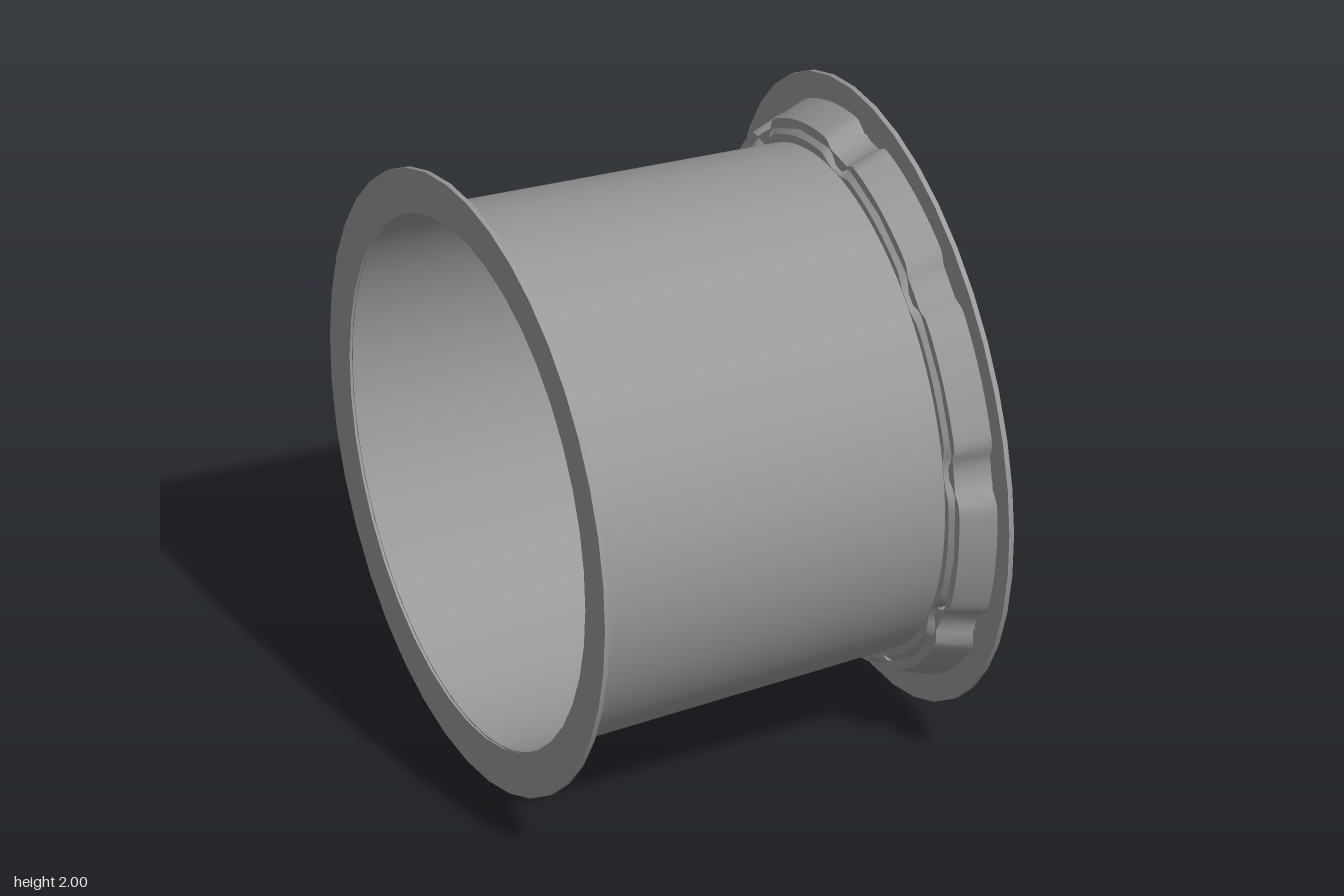
import * as THREE from 'three';
import { toCreasedNormals } from 'three/addons/utils/BufferGeometryUtils.js';

const { lerp, smoothstep, degToRad } = THREE.MathUtils;
const SPOKES = 9;
const STEP = (Math.PI * 2) / SPOKES;
const H = STEP / 2;
const metal = new THREE.MeshStandardMaterial({ color: 0x999999, side: THREE.DoubleSide });
const red = new THREE.MeshStandardMaterial({ color: 0xff9a9a, side: THREE.DoubleSide });

// Axial position of the wheel face by radius: [radius, x] stations
const FRONT = [[0.19, 0.455], [0.3, 0.465], [0.38, 0.505], [0.46, 0.552], [0.55, 0.595], [0.7, 0.645], [0.88, 0.688]];
const MIDDLE = [[0.19, 0.42], [0.3, 0.425], [0.38, 0.46], [0.46, 0.503], [0.55, 0.54], [0.7, 0.575], [0.8, 0.585]];
const BACK = [[0.19, 0.29], [0.3, 0.3], [0.38, 0.36], [0.46, 0.415], [0.55, 0.46], [0.7, 0.52], [0.8, 0.555]];

function sample(stations, r) {
  for (let i = 1; i < stations.length; i++) {
    const [r0, x0] = stations[i - 1], [r1, x1] = stations[i];
    if (r <= r1) return lerp(x0, x1, Math.max(0, (r - r0) / (r1 - r0)));
  }
  return stations[stations.length - 1][1];
}

// Rows of one spoke sector from bore to rim: radius (by angle from the spoke),
// half angle covered, and whether the row is collapsed to close the end
function sectorRows({ inner, outer, half, cIn, cOut, bore, rim }) {
  const rows = [{ r: bore, A: H, flat: true }];
  for (let k = 0; k <= 4; k++) rows.push({ r: (d) => lerp(bore(d), inner, k / 4), A: H });
  const add = (r, inset) => rows.push({ r: () => r, A: Math.min(H, Math.asin(half / r) + inset / r) });
  for (let k = 0; k <= 8; k++) {
    const p = (k / 8) * Math.PI / 2;
    add(inner + cIn * (1 - Math.cos(p)), cIn * (1 - Math.sin(p)));
  }
  for (let k = 1; k < 10; k++) add(lerp(inner + cIn, outer - cOut, k / 10), 0);
  for (let k = 8; k >= 0; k--) {
    const p = (k / 8) * Math.PI / 2;
    add(outer - cOut * (1 - Math.cos(p)), cOut * (1 - Math.sin(p)));
  }
  rows.push({ r: () => outer, A: H }, { r: rim, A: H }, { r: rim, A: H, flat: true });
  return rows;
}

// One layer of the spoked face, lofted sector by sector and dished by radius
function faceLayer(name, spec) {
  const n = 20;
  const section = [[-1, 0.8]];
  for (let j = 0; j <= n; j++) section.push([-1 + (2 * j) / n, 1]);
  section.push([1, 0.8]);
  for (let j = n; j >= 0; j--) section.push([-1 + (2 * j) / n, 0]);
  const m = section.length;
  const sides = new Set([0, n + 1, n + 2, m - 1]);
  const rows = sectorRows(spec);
  const positions = [], index = [];

  for (let spoke = 0; spoke < SPOKES; spoke++) {
    const centre = Math.PI / 2 + spoke * STEP;
    const start = positions.length / 3;
    rows.forEach(({ r: radius, A, flat }, i) => {
      section.forEach(([s, t0], j) => {
        const t = flat ? 0.5 : t0;
        const nominal = radius(Math.abs(s) * A);
        // Small bevel along the free front edges
        const bevel = t0 === 1 ? Math.min(spec.bevel / nominal, (H - A) * 0.5) : 0;
        const d = s * (A - bevel);
        const r = nominal - spec.taper * (1 - t) * smoothstep(nominal, 0.78, 0.87);
        const x = lerp(sample(spec.back, nominal) - spec.sink, sample(spec.front, nominal), t);
        positions.push(x, r * Math.sin(centre + d), -r * Math.cos(centre + d));
        // No walls where neighbouring sectors meet
        if (i === rows.length - 1 || (sides.has(j) && A === H && rows[i + 1].A === H)) return;
        const a = start + i * m + j, b = start + i * m + ((j + 1) % m);
        index.push(a, a + m, b + m, a, b + m, b);
      });
    });
  }
  const geo = new THREE.BufferGeometry();
  geo.setAttribute('position', new THREE.Float32BufferAttribute(positions, 3));
  geo.setIndex(index);
  const mesh = new THREE.Mesh(toCreasedNormals(geo, 0.6), metal);
  mesh.name = name;
  return mesh;
}

// Surface turned about the wheel axis from [radius, x] points
function turned(name, points, segments) {
  const geo = new THREE.LatheGeometry(points.map(([r, x]) => new THREE.Vector2(r, x)), segments);
  geo.rotateZ(-Math.PI / 2);
  const mesh = new THREE.Mesh(toCreasedNormals(geo, 0.5), metal);
  mesh.name = name;
  return mesh;
}

// Rim edge that dips behind each spoke, leaving raised pockets between them
const scallop = (low, high) => (d) => lerp(low, high, smoothstep(d, 0.03, 0.12));

export function createModel() {
  const model = new THREE.Group();
  const wheel = new THREE.Group();
  wheel.name = 'wheel';
  wheel.position.y = 1;
  model.add(wheel);

  // Tapered barrel and its two flanges
  wheel.add(turned('barrel', [
    [0.855, -0.69], [0.865, -0.69], [0.802, 0.56], [0.79, 0.56], [0.855, -0.69],
  ], 96));
  wheel.add(turned('innerFlange', [
    [0.857, -0.7], [1, -0.7], [1, -0.684], [0.863, -0.684], [0.857, -0.7],
  ], 40));
  wheel.add(turned('outerLip', [
    [0.885, 0.682], [1, 0.682], [1, 0.698], [0.968, 0.698], [0.955, 0.69],
    [0.91, 0.69], [0.888, 0.688], [0.885, 0.682],
  ], 40));

  // Wide rear layer with the bore
  wheel.add(faceLayer('spokeBase', {
    front: MIDDLE, back: BACK, sink: 0, taper: 0.03, bevel: 0.008,
    inner: 0.335, outer: 0.8, half: 0.032, cIn: 0.085, cOut: 0.06,
    rim: scallop(0.815, 0.856), bore: () => 0.19,
  }));
  // Narrow front ribs, with rounded lug recesses opening into the hub
  wheel.add(faceLayer('spokeRibs', {
    front: FRONT, back: MIDDLE, sink: 0.015, taper: 0.04, bevel: 0.007,
    inner: 0.358, outer: 0.888, half: 0.02, cIn: 0.095, cOut: 0.07,
    rim: scallop(0.872, 0.915),
    bore: (d) => 0.24 + 0.07 * Math.sqrt(Math.max(0, 1 - (d / 0.14) ** 2)),
  }));
  // Chamfered collar around the bore
  wheel.add(turned('hubCollar', [
    [0.19, 0.3], [0.19, 0.435], [0.2, 0.442], [0.24, 0.425],
  ], 64));

  // Coloured patches in every third window
  for (const deg of [30, 150, 270]) {
    const half = 0.2;
    const geo = new THREE.RingGeometry(0.797, 0.849, 16, 1, degToRad(deg) - half, half * 2);
    geo.rotateY(Math.PI / 2);
    const patch = new THREE.Mesh(geo, red);
    patch.name = 'colouredPatch';
    patch.position.x = 0.59;
    wheel.add(patch);
  }

  // Air valve: stem, collar, cap and the rounded rear end
  const valve = new THREE.Group();
  valve.name = 'valve';
  const a = degToRad(-10);
  valve.position.set(0.585, 0.825 * Math.sin(a), -0.825 * Math.cos(a));
  for (const [r, len, x] of [[0.014, 0.1, 0.03], [0.032, 0.02, 0.012], [0.022, 0.035, 0.068]]) {
    const stem = new THREE.Mesh(new THREE.CylinderGeometry(r, r, len, 16).rotateZ(Math.PI / 2), metal);
    stem.name = 'valveStem';
    stem.position.x = x;
    valve.add(stem);
  }
  const ball = new THREE.Mesh(new THREE.SphereGeometry(0.028, 16, 12), metal);
  ball.name = 'valveSeat';
  ball.position.set(-0.02, 0, -0.033);
  valve.add(ball);
  wheel.add(valve);

  return model;
}
